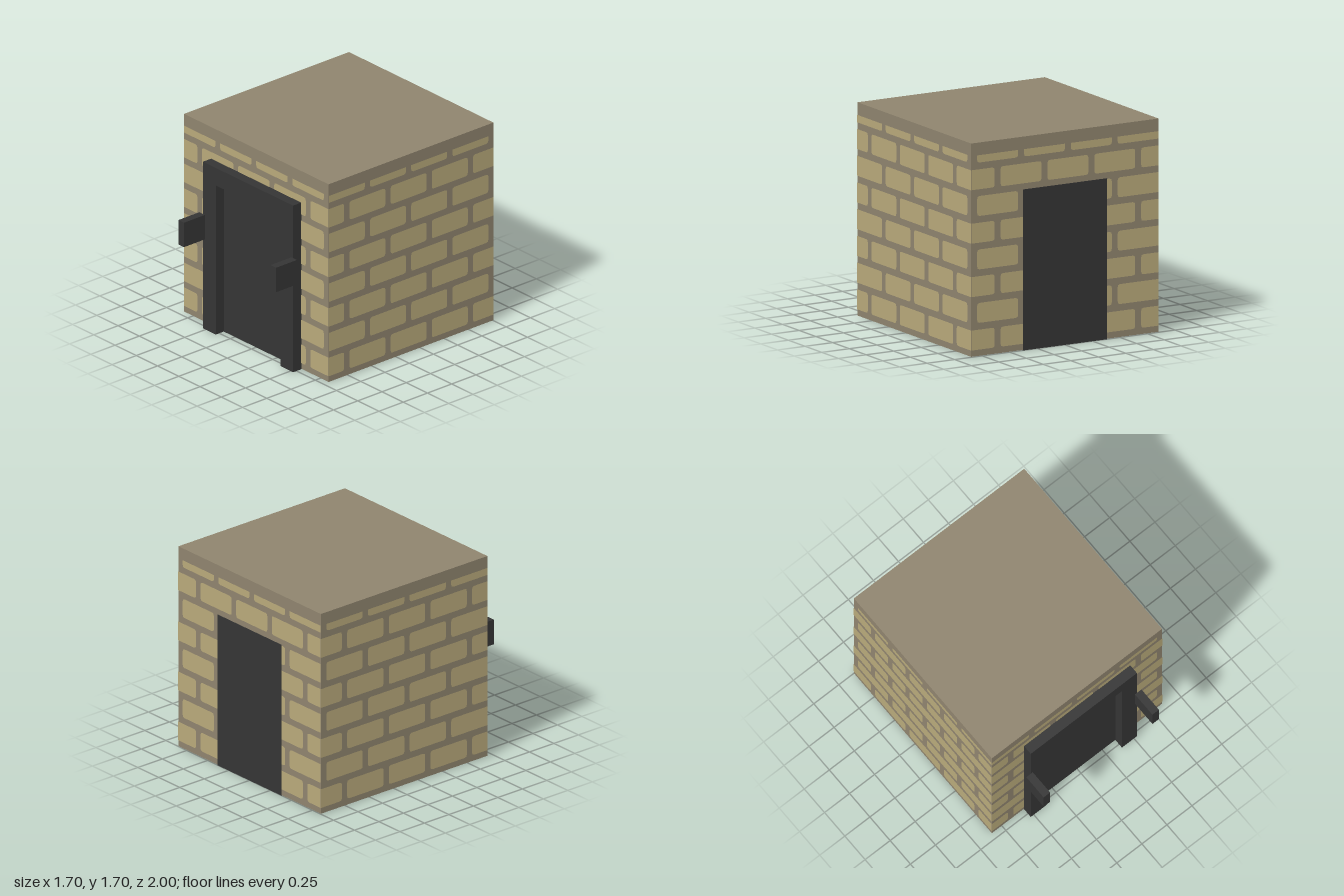
import * as THREE from 'three';

const SIZE = 1.7, HALF = SIZE / 2, MID_Z = -0.15, DOOR = 0.38, DOOR_TOP = 1.28;
const PITCH = SIZE / 4, ROW = SIZE / 8, GAP = 0.0535, ROUND = 0.022;

const mat = (name, color) => {
  const m = new THREE.MeshStandardMaterial({ color });
  m.name = name;
  return m;
};

// One brick outline; corners stay square on sides where the brick is cut off
function brickShape(x0, x1, y0, y1, cutLeft, cutRight, cutTop) {
  const s = new THREE.Shape();
  const corner = (x, y, dx, dy, cut, vertical) => {
    const r = cut ? 0 : ROUND;
    const a = [x + dx * r, y], b = [x, y + dy * r];
    const k = [x + dx * r * 0.25, y + dy * r * 0.25];
    if (cut) return [[x, y]];
    return vertical ? [b, k, a] : [a, k, b];
  };
  const pts = [
    ...corner(x0, y0, 1, 1, cutLeft, true),
    ...corner(x1, y0, -1, 1, cutRight, false),
    ...corner(x1, y1, -1, -1, cutRight || cutTop, true),
    ...corner(x0, y1, 1, -1, cutLeft || cutTop, false),
  ];
  s.setFromPoints(pts.map(([x, y]) => new THREE.Vector2(x, y)));
  return s;
}

// Running-bond bricks for one face, leaving a doorway strip free when asked
function brickFace({ mirror = false, top = 1.6, doorTop = 0 }) {
  const shapes = [];
  for (let row = 0; row < 8; row++) {
    const y0 = row * ROW + GAP, full = (row + 1) * ROW;
    const y1 = Math.min(full, top);
    const shift = row % 2 ? 0 : -PITCH / 2;
    for (let i = 0; i < 5; i++) {
      const u0 = i * PITCH + shift, u1 = u0 + PITCH - GAP;
      const a = Math.max(u0, 0) - HALF, b = Math.min(u1, SIZE) - HALF;
      if (b - a < 0.01) continue;
      const spans = y0 < doorTop
        ? [[a, Math.min(b, -DOOR)], [Math.max(a, DOOR), b]]
        : [[a, b]];
      for (const [p, q] of spans) {
        if (q - p < 0.01) continue;
        const cutP = u0 <= 0 || p > a, cutQ = u1 > SIZE || q < b;
        shapes.push(mirror
          ? brickShape(-q, -p, y0, y1, cutQ, cutP, y1 < full)
          : brickShape(p, q, y0, y1, cutP, cutQ, y1 < full));
      }
    }
  }
  return new THREE.ShapeGeometry(shapes);
}

export function createModel() {
  const group = new THREE.Group();
  const mortar = mat('mortar', 0x8f846e);
  const brick = mat('brick', 0xb8a97a);
  const iron = mat('dark iron', 0x353535);

  const add = (name, geometry, material, x, y, z) => {
    const mesh = new THREE.Mesh(geometry, material);
    mesh.name = name;
    mesh.position.set(x, y, z);
    group.add(mesh);
    return mesh;
  };
  // Box given by its minimum and maximum corners
  const box = (name, material, [x0, y0, z0], [x1, y1, z1]) =>
    add(name, new THREE.BoxGeometry(x1 - x0, y1 - y0, z1 - z0), material,
      (x0 + x1) / 2, (y0 + y1) / 2, (z0 + z1) / 2);

  // Masonry block
  box('block', mortar, [-HALF, 0.004, -1], [HALF, SIZE, 0.7]);

  // Bricks on the four walls and the underside
  const off = 0.002;
  add('frontBricks', brickFace({ doorTop: DOOR_TOP }), brick, 0, 0, 0.7 + off);
  add('rightBricks', brickFace({}), brick, HALF + off, 0, MID_Z).rotation.y = Math.PI / 2;
  add('backBricks', brickFace({ mirror: true, doorTop: DOOR_TOP }), brick, 0, 0, -1 - off).rotation.y = Math.PI;
  add('leftBricks', brickFace({ mirror: true }), brick, -HALF - off, 0, MID_Z).rotation.y = -Math.PI / 2;
  add('undersideBricks', brickFace({ top: SIZE, doorTop: SIZE }), brick, 0, 0.002, -1).rotation.x = Math.PI / 2;

  // Dark doorway panels: front, back and floor strip
  box('frontPanel', iron, [-DOOR, 0, 0.698], [DOOR, DOOR_TOP, 0.703]);
  box('backPanel', iron, [-DOOR, 0, -1.003], [DOOR, DOOR_TOP, -0.998]);
  box('floorStrip', iron, [-DOOR, 0, -1], [DOOR, 0.006, 0.7]);

  // Door frame
  const frame = new THREE.Shape([
    [-0.53, 0], [-DOOR, 0], [-DOOR, DOOR_TOP], [DOOR, DOOR_TOP],
    [DOOR, 0], [0.53, 0], [0.53, 1.43], [-0.53, 1.43],
  ].map(([x, y]) => new THREE.Vector2(x, y)));
  add('doorFrame', new THREE.ExtrudeGeometry(frame, { depth: 0.085, bevelEnabled: false }), iron, 0, 0, 0.7);

  // Brackets reaching forward on both sides
  for (const side of [-1, 1]) {
    const x = side * 0.5425;
    box(side > 0 ? 'leftBracket' : 'rightBracket', iron,
      [x - 0.0325, 0.77, 0.785], [x + 0.0325, 0.98, 1]);
  }
  return group;
}
